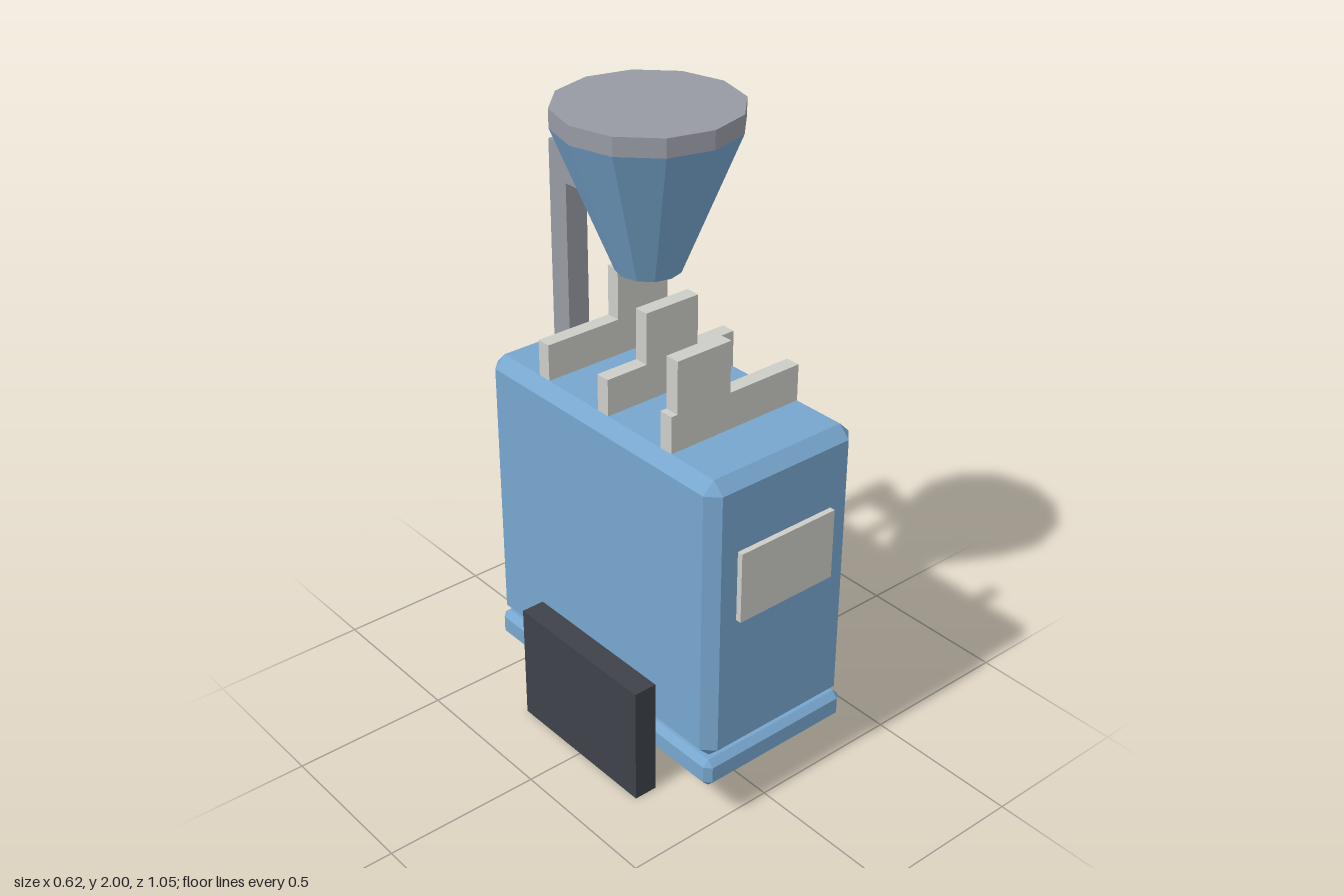
import * as THREE from 'three';
import { ConvexGeometry } from 'three/addons/geometries/ConvexGeometry.js';

const material = (name, color) => {
  const m = new THREE.MeshStandardMaterial({ color, flatShading: true });
  m.name = name;
  return m;
};

// Box with every edge cut by a flat chamfer c
function chamferBox(w, h, d, c) {
  const points = [];
  for (const x of [-1, 1]) for (const y of [-1, 1]) for (const z of [-1, 1]) {
    const a = x * w / 2, b = y * h / 2, e = z * d / 2;
    points.push(
      new THREE.Vector3(a, b - y * c, e - z * c),
      new THREE.Vector3(a - x * c, b, e - z * c),
      new THREE.Vector3(a - x * c, b - y * c, e));
  }
  return new ConvexGeometry(points);
}

export function createModel() {
  const blue = material('blue paint', 0x77a6ce);
  const cream = material('pale plate', 0xcdcdc8);
  const grey = material('grey metal', 0x989aa4);
  const dark = material('dark panel', 0x3e4248);
  const group = new THREE.Group();

  const add = (name, geometry, mat, x, y, z) => {
    const mesh = new THREE.Mesh(geometry, mat);
    mesh.name = name;
    mesh.position.set(x, y, z);
    group.add(mesh);
  };
  // Box given by its min and max on each axis
  const box = (name, mat, [x0, x1], [y0, y1], [z0, z1]) =>
    add(name, new THREE.BoxGeometry(x1 - x0, y1 - y0, z1 - z0), mat,
      (x0 + x1) / 2, (y0 + y1) / 2, (z0 + z1) / 2);

  // Chamfered housing on a separate base slab
  const cx = 0.036;
  add('housing', chamferBox(0.542, 0.93, 1.01, 0.037), blue, cx, 0.7, 0);
  add('base', chamferBox(0.542, 0.093, 1.01, 0.02), blue, cx, 0.189, 0);

  // Plates on the front and back
  for (const s of [-1, 1]) {
    const shape = new THREE.BoxGeometry(0.35, 0.226, 0.02);
    add(s > 0 ? 'frontPlate' : 'backPlate', shape, cream, cx, 0.818, s * 0.513);
  }

  // Side panel reaching the ground
  box('sidePanel', dark, [-0.311, -0.235], [0, 0.39], [-0.272, 0.272]);

  // Three stepped combs, each tall tab shifted further across
  [[0.272, -0.177], [0, -0.058], [-0.272, 0.06]].forEach(([z, x]) => {
    const profile = new THREE.Shape([
      [-0.198, 1.16], [0.271, 1.16], [0.271, 1.28], [x + 0.19, 1.28],
      [x + 0.19, 1.44], [x, 1.44], [x, 1.28], [-0.198, 1.28],
    ].map(p => new THREE.Vector2(...p)));
    const geo = new THREE.ExtrudeGeometry(profile, { depth: 0.046, bevelEnabled: false });
    add('steppedComb', geo, cream, 0, 0, z - 0.023);
  });

  // Post and arm holding the funnel
  box('post', grey, [0, 0.075], [1.16, 1.79], [-0.485, -0.408]);
  box('arm', grey, [0, 0.075], [1.675, 1.75], [-0.408, -0.2]);

  // Twelve-sided funnel with a flat lid
  add('funnel', new THREE.CylinderGeometry(0.271, 0.097, 0.43, 12), blue, 0.037, 1.73, -0.08);
  add('funnelLid', new THREE.CylinderGeometry(0.271, 0.271, 0.055, 12), grey, 0.037, 1.9725, -0.08);

  return group;
}
